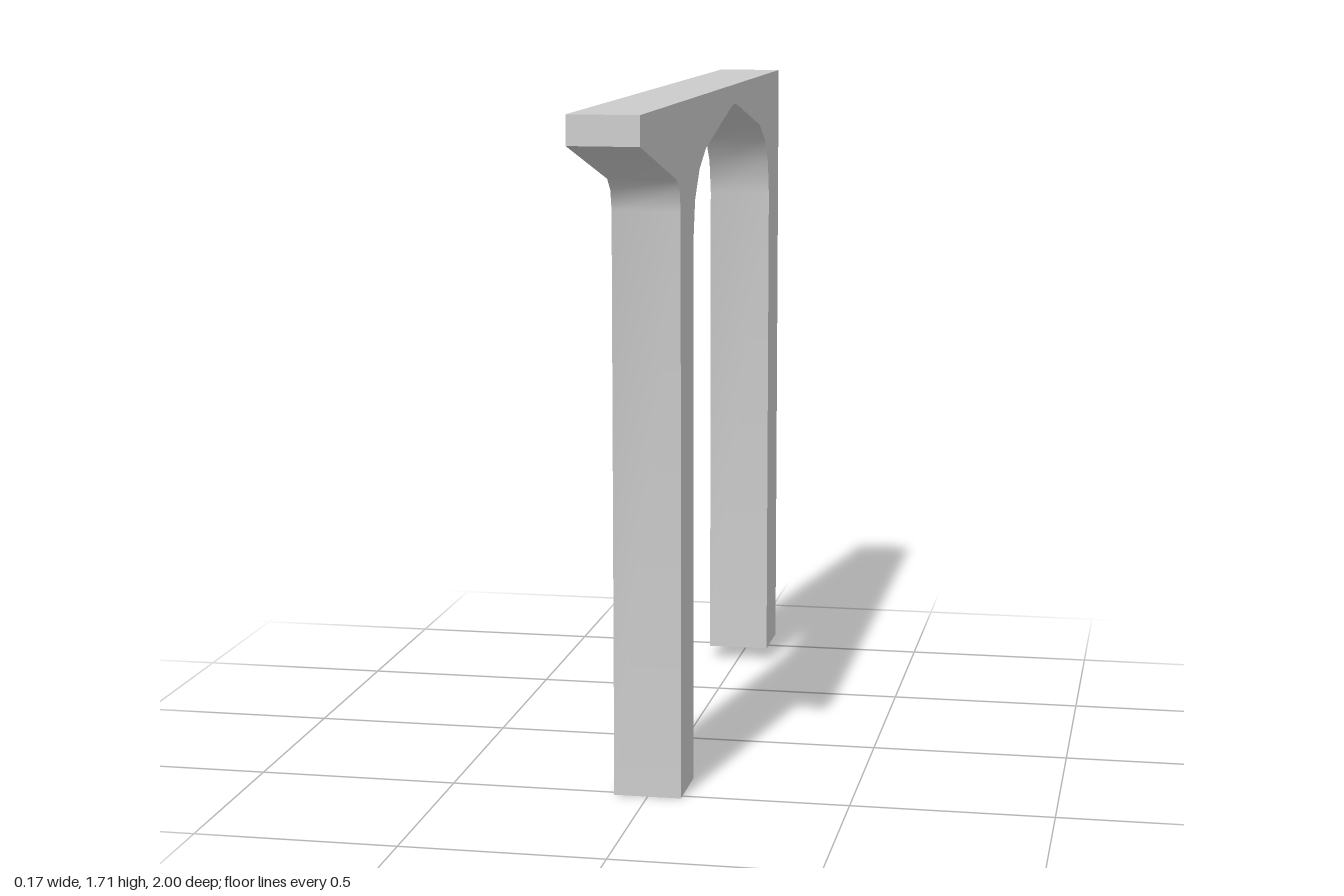
import * as THREE from 'three';
import { toCreasedNormals } from 'three/addons/utils/BufferGeometryUtils.js';

const WIDTH = 0.168;
const TOP = 1.71;

export function createModel() {
  const group = new THREE.Group();
  group.name = 'portalFrame';
  const material = new THREE.MeshStandardMaterial({ color: 0xcccccc });

  // Half of the arch underside, from the leg up to the crown; first value is the distance from the crown
  const crownZ = -0.239;
  const halfArch = [[0.59, 1.37], [0.57, 1.46], [0.51, 1.53], [0.422, 1.575], [0.043, 1.655]];
  const frontHalf = halfArch.map(([d, y]) => [crownZ + d, y]);
  const backHalf = halfArch.map(([d, y]) => [crownZ - d, y]).reverse();

  // Side outline as (z, y), counter-clockwise
  const outline = [
    [1, TOP], [-1, TOP],                                        // flat beam top
    [-1, 0.035], [-0.829, 0.035],                               // back leg, slightly shorter
    ...backHalf.slice().reverse(), [crownZ, 1.659], ...frontHalf.slice().reverse(), // arch
    [0.351, 0], [0.52, 0],                                      // front leg
    [0.52, 1.45], [0.533, 1.5], [0.568, 1.53],                  // haunch under the overhang
    [1, 1.64],                                                  // tapered overhang tip
  ].map(([z, y]) => new THREE.Vector2(z, y));

  // Extrude across the width and turn so the outline runs along z
  const geometry = new THREE.ExtrudeGeometry(new THREE.Shape(outline), { depth: WIDTH, bevelEnabled: false });
  geometry.translate(0, 0, -WIDTH / 2);
  geometry.rotateY(-Math.PI / 2);

  const frame = new THREE.Mesh(toCreasedNormals(geometry, THREE.MathUtils.degToRad(40)), material);
  frame.name = 'beamAndLegs';
  group.add(frame);
  return group;
}
